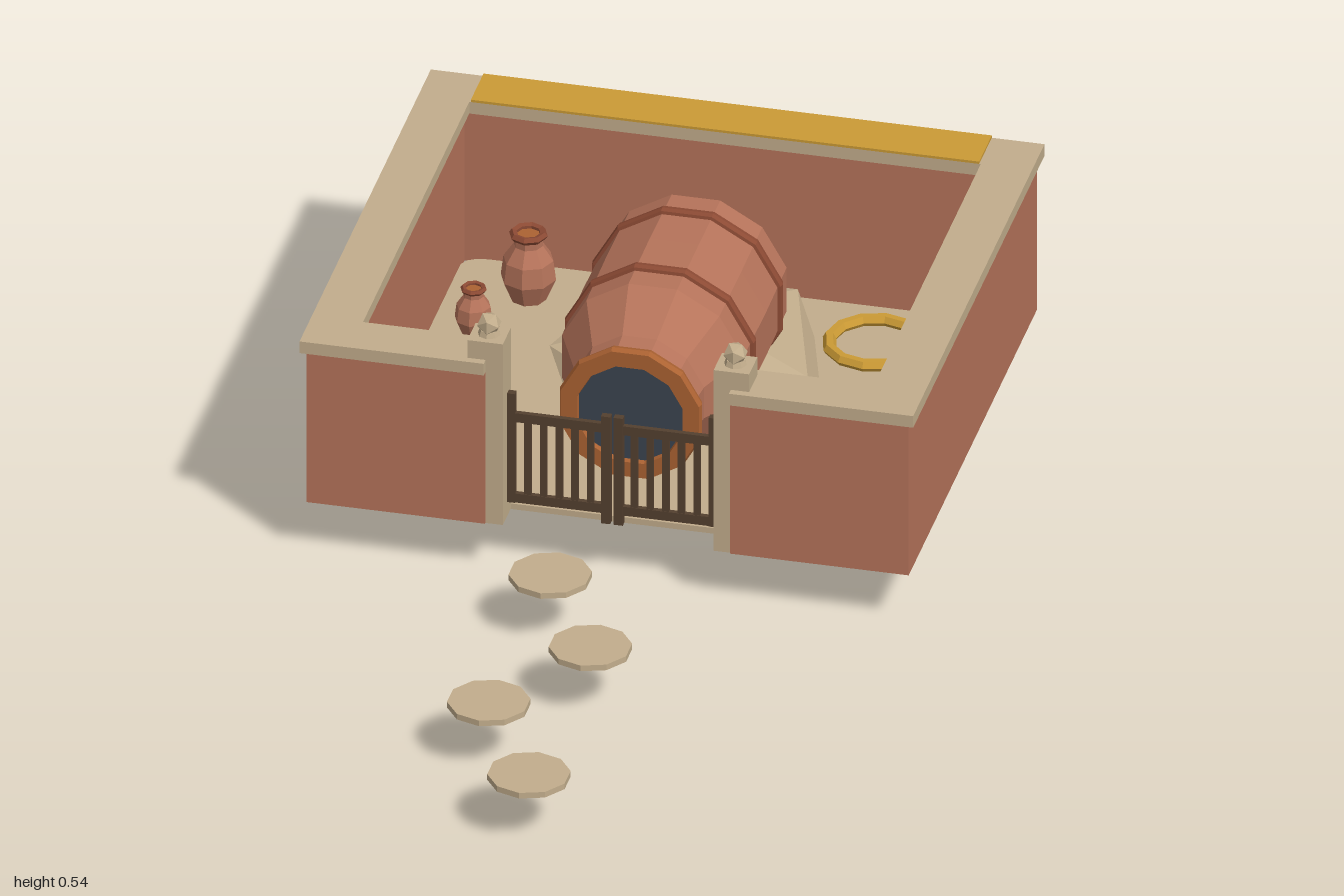
import * as THREE from 'three';

const mat = (name, color) => {
  const m = new THREE.MeshStandardMaterial({ color });
  m.name = name;
  return m;
};

export function createModel() {
  const brick = mat('terracotta', 0xb5735a);
  const stone = mat('sandstone', 0xc2ad8c);
  const gold = mat('ochre gold', 0xcb9a35);
  const wood = mat('dark wood', 0x54402f);
  const band = mat('dark clay', 0x8c4a34);
  const rim = mat('orange clay', 0xab6232);
  const dark = mat('dark slate', 0x3b4450);

  const model = new THREE.Group();
  model.name = 'walledYard';

  const add = (name, geo, material, x = 0, y = 0, z = 0, parent = model) => {
    const mesh = new THREE.Mesh(geo, material);
    mesh.name = name;
    mesh.position.set(x, y, z);
    parent.add(mesh);
    return mesh;
  };
  // Box given by its extents
  const box = (name, material, x0, x1, y0, y1, z0, z1, parent) =>
    add(name, new THREE.BoxGeometry(x1 - x0, y1 - y0, z1 - z0), material,
      (x0 + x1) / 2, (y0 + y1) / 2, (z0 + z1) / 2, parent);
  // Mirrored pair of boxes
  const pair = (name, material, x0, x1, ...rest) => {
    box(name + 'Left', material, x0, x1, ...rest);
    box(name + 'Right', material, -x1, -x0, ...rest);
  };
  // Faceted normals
  const facet = (geo) => {
    const g = geo.index ? geo.toNonIndexed() : geo;
    g.computeVertexNormals();
    return g;
  };
  const lathe = (pts, sides) =>
    new THREE.LatheGeometry(pts.map(([r, y]) => new THREE.Vector2(r, y)), sides);

  // Floor slab with rounded corners
  const [fx, fz, fr] = [0.505, 0.435, 0.05];
  const slab = new THREE.Shape();
  slab.moveTo(-fx + fr, -fz);
  slab.lineTo(fx - fr, -fz);
  slab.quadraticCurveTo(fx, -fz, fx, -fz + fr);
  slab.lineTo(fx, fz - fr);
  slab.quadraticCurveTo(fx, fz, fx - fr, fz);
  slab.lineTo(-fx + fr, fz);
  slab.quadraticCurveTo(-fx, fz, -fx, fz - fr);
  slab.lineTo(-fx, -fz + fr);
  slab.quadraticCurveTo(-fx, -fz, -fx + fr, -fz);
  const slabGeo = new THREE.ExtrudeGeometry(slab, { depth: 0.012, bevelEnabled: false, curveSegments: 4 });
  slabGeo.rotateX(-Math.PI / 2);
  add('floor', slabGeo, stone, 0, 0.108, -0.475);

  // Walls and coping
  box('backWall', brick, -0.577, 0.577, 0.11, 0.435, -0.987, -0.912);
  pair('sideWall', brick, 0.502, 0.577, 0.11, 0.435, -0.912, -0.047);
  pair('frontWall', brick, 0.235, 0.577, 0.11, 0.435, -0.047, 0.028);
  box('backCoping', stone, -0.588, 0.588, 0.435, 0.46, -1, -0.9);
  pair('sideCoping', stone, 0.49, 0.588, 0.435, 0.46, -0.9, -0.06);
  pair('frontCoping', stone, 0.235, 0.588, 0.435, 0.46, -0.06, 0.038);
  box('goldStrip', gold, -0.487, 0.487, 0.46, 0.465, -1, -0.9);

  // Gate posts with finials
  for (const s of [1, -1]) {
    const post = new THREE.Group();
    post.name = s > 0 ? 'gatePostLeft' : 'gatePostRight';
    post.position.set(s * 0.236, 0, -0.01);
    model.add(post);
    box('postShaft', stone, -0.034, 0.034, 0.109, 0.498, -0.033, 0.033, post);
    add('finialNeck', facet(new THREE.CylinderGeometry(0.018, 0.022, 0.012, 8)), stone, 0, 0.503, 0, post);
    add('finialBall', facet(new THREE.IcosahedronGeometry(0.024, 0)), stone, 0, 0.52, 0, post);
  }

  // Two gate leaves: stiles, rails and pickets
  for (const s of [1, -1]) {
    const leaf = new THREE.Group();
    leaf.name = s > 0 ? 'gateLeafLeft' : 'gateLeafRight';
    leaf.position.z = -0.012;
    model.add(leaf);
    const bar = (name, xc, w, y0, y1, d) =>
      box(name, wood, s * xc - w / 2, s * xc + w / 2, y0, y1, -d / 2, d / 2, leaf);
    bar('hingeStile', 0.193, 0.015, 0.143, 0.377, 0.014);
    bar('meetingStile', 0.012, 0.018, 0.122, 0.352, 0.014);
    bar('topRail', 0.103, 0.19, 0.316, 0.335, 0.01);
    bar('bottomRail', 0.103, 0.19, 0.143, 0.162, 0.01);
    for (let i = 0; i < 5; i++) bar('picket', 0.042 + i * 0.03, 0.013, 0.15, 0.332, 0.008);
  }

  // Faceted rock under the barrel: two offset rings between two poles
  const rockPos = [];
  const ring = (y, off) => Array.from({ length: 5 }, (_, i) => {
    const a = ((i * 72 + off) * Math.PI) / 180;
    return [0.26 * Math.sin(a), y, -0.62 + 0.279 * Math.cos(a)];
  });
  const low = ring(0.07, 36), high = ring(0.175, 0);
  const tri = (...p) => p.forEach((v) => rockPos.push(...v));
  for (let i = 0; i < 5; i++) {
    const j = (i + 1) % 5;
    tri([0, 0, -0.62], low[j], low[i]);
    tri(low[i], low[j], high[j]);
    tri(low[i], high[j], high[i]);
    tri([0, 0.24, -0.62], high[i], high[j]);
  }
  const rockGeo = new THREE.BufferGeometry();
  rockGeo.setAttribute('position', new THREE.Float32BufferAttribute(rockPos, 3));
  rockGeo.computeVertexNormals();
  add('rock', rockGeo, stone);

  // Barrel lying along z, mouth to the front
  const barrel = new THREE.Group();
  barrel.name = 'barrel';
  barrel.position.y = 0.277;
  model.add(barrel);
  const turned = (pts) => facet(lathe(pts, 12).rotateY(Math.PI / 12).rotateX(Math.PI / 2));
  add('barrelBody', turned([[0, -0.67], [0.18, -0.67], [0.182, -0.5], [0.18, -0.33],
    [0.128, -0.225], [0.122, -0.165]]), brick, 0, 0, 0, barrel);
  add('barrelLip', turned([[0.12, -0.172], [0.137, -0.17], [0.141, -0.158], [0.137, -0.147],
    [0.105, -0.147], [0.102, -0.165]]), rim, 0, 0, 0, barrel);
  add('barrelMouth', new THREE.CircleGeometry(0.108, 12, Math.PI / 12), dark, 0, 0, -0.158, barrel);
  for (const z of [-0.605, -0.39]) {
    add('barrelHoop', turned([[0.178, z - 0.012], [0.187, z - 0.01], [0.189, z],
      [0.187, z + 0.01], [0.178, z + 0.012]]), band, 0, 0, 0, barrel);
  }

  // Two clay pots, one smaller
  for (const [x, z, k] of [[-0.35, -0.79, 1], [-0.42, -0.645, 0.68]]) {
    const pot = new THREE.Group();
    pot.name = 'clayPot';
    pot.position.set(x, 0.115, z);
    pot.scale.setScalar(k);
    model.add(pot);
    add('potBody', facet(lathe([[0, 0], [0.032, 0], [0.053, 0.05], [0.048, 0.09],
      [0.028, 0.12], [0.028, 0.14]], 8)), brick, 0, 0, 0, pot);
    add('potRim', facet(new THREE.TorusGeometry(0.029, 0.008, 5, 8).rotateX(Math.PI / 2)), band, 0, 0.142, 0, pot);
    add('potMouth', new THREE.CircleGeometry(0.027, 8).rotateX(-Math.PI / 2), rim, 0, 0.141, 0, pot);
  }

  // Gold ring lying on the floor
  add('goldRing', facet(new THREE.TorusGeometry(0.087, 0.013, 6, 12).rotateX(Math.PI / 2)), gold, 0.32, 0.128, -0.765);

  // Stepping stones
  for (let i = 0; i < 4; i++) {
    add('steppingStone', facet(new THREE.CylinderGeometry(0.078, 0.078, 0.012, 10)), stone,
      i % 2 ? 0.066 : -0.07, 0.114, 0.193 + i * 0.243);
  }
  return model;
}
